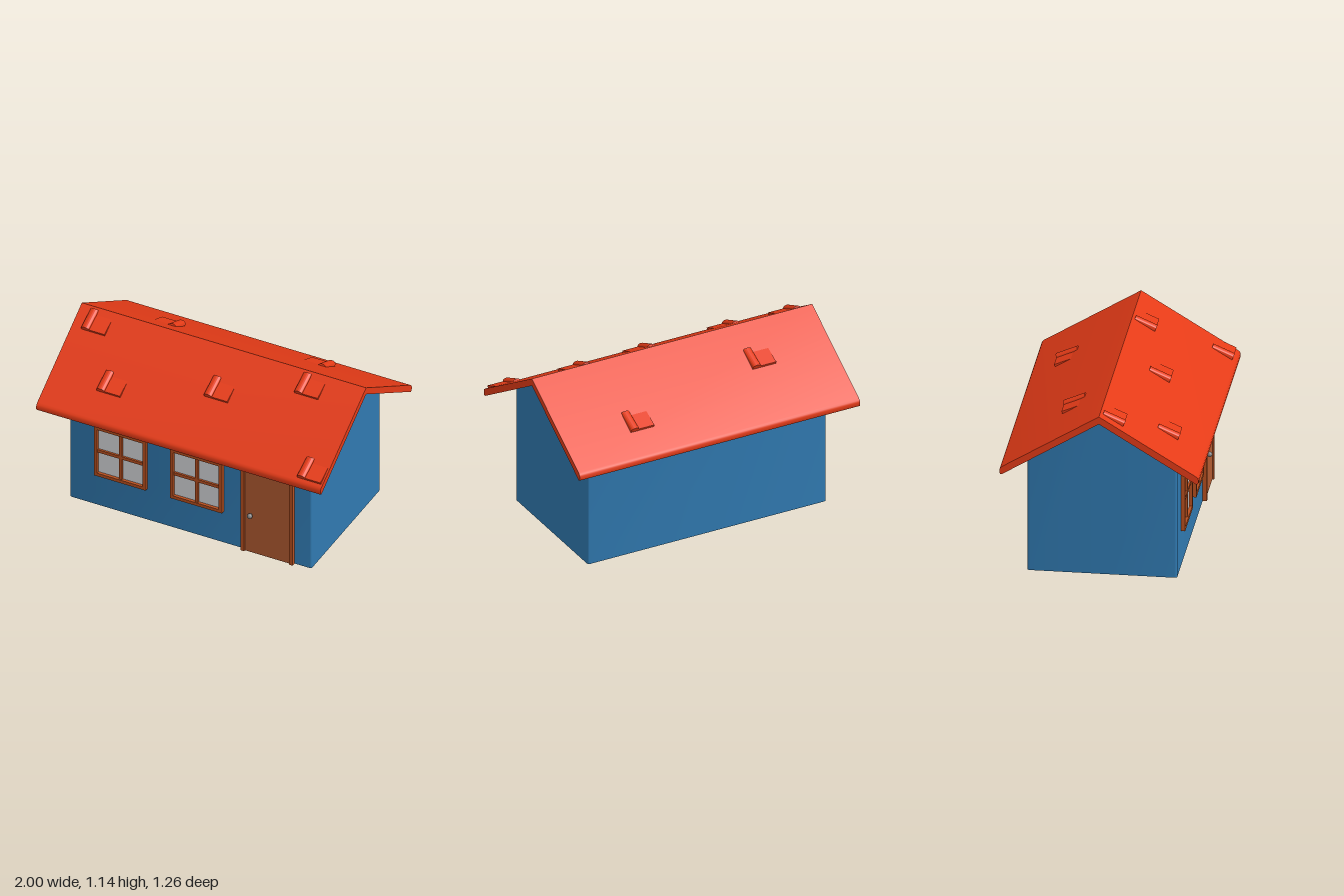
import * as THREE from 'three';
import { toCreasedNormals } from 'three/addons/utils/BufferGeometryUtils.js';

const paint = (color, side = THREE.FrontSide) => new THREE.MeshStandardMaterial({ color, side });
const BLUE = paint(0x3079b0, THREE.DoubleSide);
const RED = paint(0xe53b17);
const TRIM = paint(0xb9501f);
const WOOD = paint(0xb35c32);
const GLASS = paint(0xd8dade);
const METAL = paint(0x808080);

const SLOPE = 0.61, RIDGE = 1.14, SOFFIT = 1.09;
const WALL_Z = 0.473, WALL_X0 = -0.845, WALL_X1 = 0.857;

function add(parent, name, geometry, material, x = 0, y = 0, z = 0) {
  const mesh = new THREE.Mesh(geometry, material);
  mesh.name = name;
  mesh.position.set(x, y, z);
  parent.add(mesh);
  return mesh;
}

// Box given by its limits on each axis
function bar(parent, name, material, [x0, x1], [y0, y1], [z0, z1]) {
  return add(parent, name, new THREE.BoxGeometry(x1 - x0, y1 - y0, z1 - z0), material,
    (x0 + x1) / 2, (y0 + y1) / 2, (z0 + z1) / 2);
}

// Thin shell following a round-cornered footprint, its top cut to the roof slope
function wallGeometry() {
  const r = 0.015, steps = 5, ring = [];
  const corner = (cx, cz, start) => {
    for (let i = 0; i <= steps; i++) {
      const a = start + (i / steps) * Math.PI / 2;
      ring.push([cx + r * Math.cos(a), cz + r * Math.sin(a)]);
    }
  };
  corner(WALL_X1 - r, WALL_Z - r, 0);
  corner(WALL_X0 + r, WALL_Z - r, Math.PI / 2);
  ring.push([WALL_X0, 0]);
  corner(WALL_X0 + r, -WALL_Z + r, Math.PI);
  corner(WALL_X1 - r, -WALL_Z + r, Math.PI * 1.5);
  ring.push([WALL_X1, 0]);

  const positions = [], index = [], n = ring.length;
  ring.forEach(([x, z], i) => {
    positions.push(x, 0, z, x, SOFFIT - SLOPE * Math.abs(z), z);
    const a = 2 * i, b = 2 * ((i + 1) % n);
    index.push(a, a + 1, b, b, a + 1, b + 1);
  });
  const g = new THREE.BufferGeometry();
  g.setAttribute('position', new THREE.Float32BufferAttribute(positions, 3));
  g.setIndex(index);
  return toCreasedNormals(g, 0.5);
}

// Gable roof section with softened eaves, swept along x
function roofGeometry() {
  const half = [[0.612, RIDGE - SLOPE * 0.612], [0.624, 0.757], [0.629, 0.745],
    [0.629, 0.725], [0.625, 0.716], [0.615, 0.713]];
  const s = new THREE.Shape();
  s.moveTo(0, RIDGE);
  half.forEach(([z, y]) => s.lineTo(z, y));
  s.lineTo(0, SOFFIT);
  [...half].reverse().forEach(([z, y]) => s.lineTo(-z, y));
  s.closePath();
  const g = new THREE.ExtrudeGeometry(s, { depth: 2, bevelEnabled: false });
  g.translate(0, 0, -1);
  g.rotateY(Math.PI / 2);
  return toCreasedNormals(g, 0.55);
}

// Raised roof tile: a rounded roll with a flat pan beside it
function makeTile(x, z) {
  const tile = new THREE.Group();
  tile.name = 'roofTile';
  const length = 0.147, w = 0.056, h = 0.03;
  const s = new THREE.Shape();
  s.moveTo(0, -0.004);
  s.lineTo(w, -0.004);
  s.lineTo(w, h * 0.4);
  s.absellipse(w / 2, h * 0.4, w / 2, h * 0.6, 0, Math.PI, false);
  s.closePath();
  const roll = new THREE.ExtrudeGeometry(s, { depth: length, bevelEnabled: false, curveSegments: 12 });
  add(tile, 'tileRoll', toCreasedNormals(roll, 0.6), RED);
  bar(tile, 'tilePan', RED, [w - 0.005, 0.165], [-0.004, 0.013], [0, length]);
  tile.position.set(x, RIDGE - SLOPE * z - 0.02, z);
  tile.rotation.x = 0.41;
  return tile;
}

function makeWindow(x) {
  const win = new THREE.Group();
  win.name = 'window';
  const w = 0.1825, h = 0.19, t = 0.023, depth = [-0.025, 0.025];
  for (const s of [-1, 1]) {
    add(win, 'frameSide', new THREE.BoxGeometry(t, 2 * h, 0.05), TRIM, s * (w - t / 2));
    add(win, 'frameRail', new THREE.BoxGeometry(2 * (w - t), t, 0.05), TRIM, 0, s * (h - t / 2));
  }
  bar(win, 'verticalMuntin', TRIM, [-0.011, 0.011], [t - h, h - t], [-0.023, 0.018]);
  bar(win, 'horizontalMuntin', TRIM, [t - w, w - t], [-0.011, 0.011], [-0.0225, 0.0175]);
  bar(win, 'pane', GLASS, [t - w, w - t], [t - h, h - t], [0, 0.005]);
  win.position.set(x, 0.43, 0.475);
  return win;
}

function makeDoor() {
  const door = new THREE.Group();
  door.name = 'door';
  const z = [0.45, 0.5];
  bar(door, 'doorJamb', TRIM, [0.372, 0.397], [0, 0.65], z);
  bar(door, 'doorJamb', TRIM, [0.713, 0.738], [0, 0.65], z);
  bar(door, 'doorHead', TRIM, [0.397, 0.713], [0.628, 0.65], z);
  bar(door, 'doorSlab', WOOD, [0.397, 0.713], [0, 0.628], [0.46, 0.488]);
  add(door, 'doorKnob', new THREE.SphereGeometry(0.017, 20, 14), METAL, 0.44, 0.29, 0.508);
  const stem = add(door, 'knobStem', new THREE.CylinderGeometry(0.007, 0.007, 0.02, 12), METAL, 0.44, 0.29, 0.492);
  stem.rotation.x = Math.PI / 2;
  return door;
}

export function createModel() {
  const house = new THREE.Group();
  house.name = 'house';
  add(house, 'walls', wallGeometry(), BLUE);
  add(house, 'roof', roofGeometry(), RED);

  // Scattered tiles; the back slope is the front one turned half round
  const front = [[-0.93, 0.01], [-0.663, 0.32], [0.018, 0.175], [0.57, 0.01], [0.822, 0.465]];
  const back = [[-0.545, 0.328], [0.42, 0.152]];
  [front, back].forEach((list, i) => {
    const side = new THREE.Group();
    side.name = i ? 'backTiles' : 'frontTiles';
    side.rotation.y = i * Math.PI;
    list.forEach(([x, z]) => side.add(makeTile(x, z)));
    house.add(side);
  });

  for (const x of [-0.4775, 0.0575]) house.add(makeWindow(x));
  house.add(makeDoor());
  return house;
}
